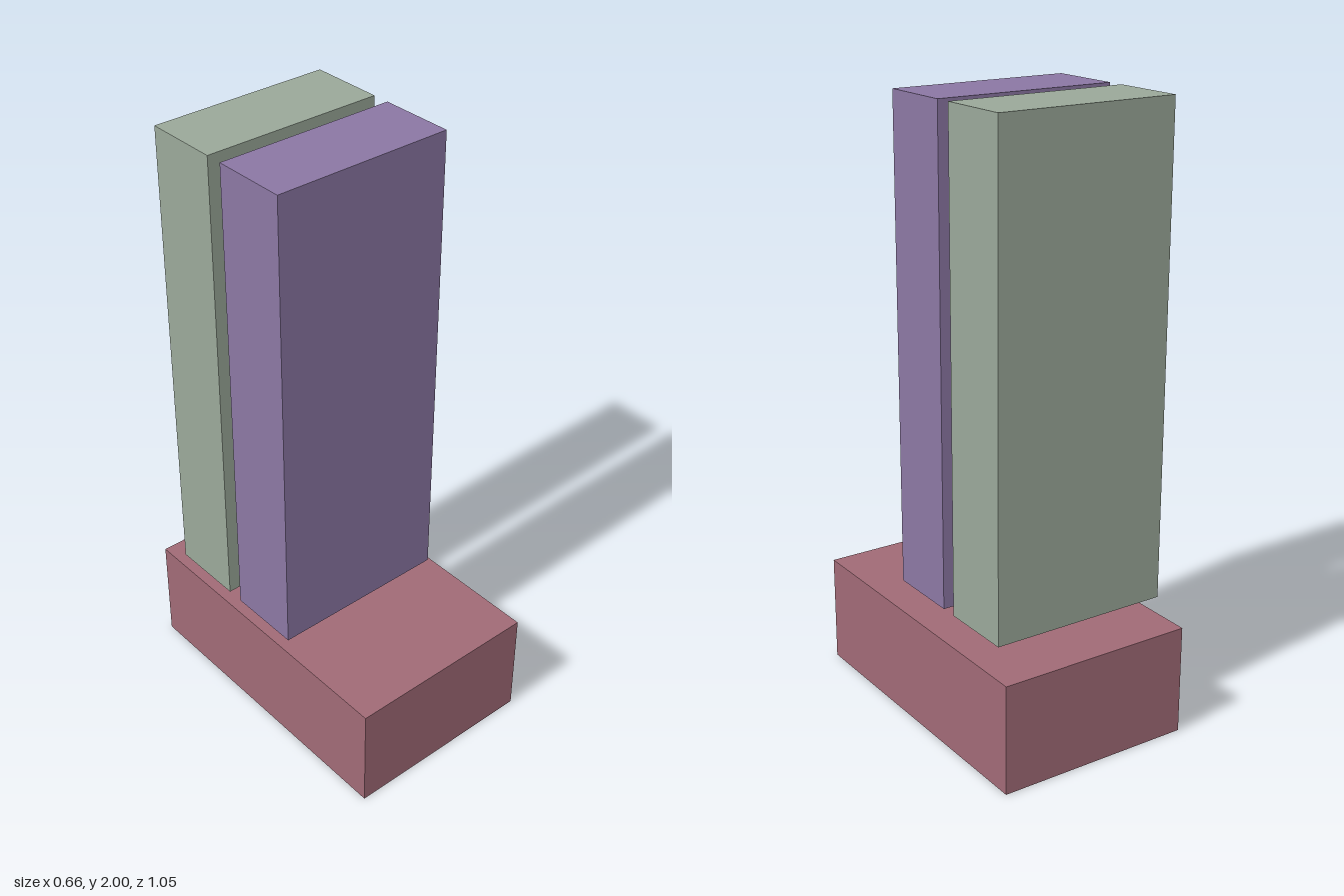
import * as THREE from 'three';

// Box given by its lower and upper corners
function block(name, color, min, max) {
  const size = max.map((v, i) => v - min[i]);
  const mesh = new THREE.Mesh(
    new THREE.BoxGeometry(...size),
    new THREE.MeshStandardMaterial({ color })
  );
  mesh.position.set(...min.map((v, i) => (v + max[i]) / 2));
  mesh.name = name;
  return mesh;
}

export function createModel() {
  const model = new THREE.Group();
  model.name = 'twinSlabTower';

  // Low base block
  model.add(block('base', 0xa06a76, [-0.332, 0, -0.527], [0.332, 0.363, 0.527]));

  // Two equal upright slabs, floating just above the base, flush with its right side
  const slabs = [
    ['frontSlab', 0x8b77a3, -0.097],
    ['backSlab', 0x9aa899, -0.402],
  ];
  for (const [name, color, z] of slabs) {
    model.add(block(name, color, [-0.332, 0.42, z], [0.276, 2, z + 0.249]));
  }
  return model;
}
